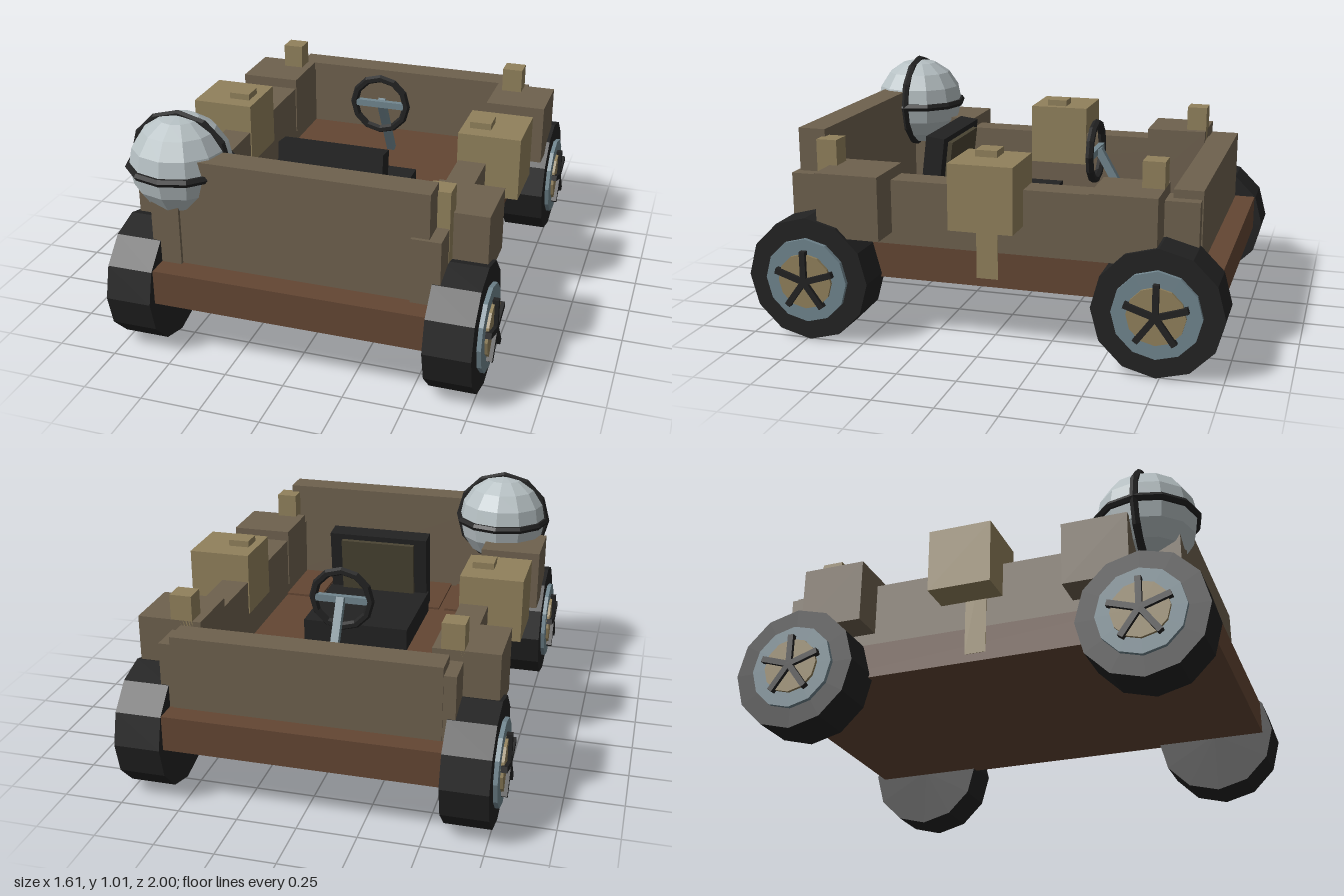
import * as THREE from 'three';

const mat = (name, color, extra = {}) => {
  const m = new THREE.MeshStandardMaterial({ color, ...extra });
  m.name = name;
  return m;
};

export function createModel() {
  const flat = { flatShading: true };
  const M = {
    brown: mat('floor brown', 0x634633, flat),
    stone: mat('wall taupe', 0x6e614e, flat),
    gold: mat('dull gold', 0x91815c, flat),
    black: mat('rubber black', 0x222222, flat),
    blue: mat('steel blue', 0x71868f, flat),
    pale: mat('pale silver', 0xb6c0c3, flat),
    olive: mat('dark olive', 0x4a4433, flat),
  };
  const root = new THREE.Group();
  root.name = 'buggy';

  const add = (name, geo, m, x = 0, y = 0, z = 0, parent = root) => {
    const mesh = new THREE.Mesh(geo, m);
    mesh.name = name;
    mesh.position.set(x, y, z);
    parent.add(mesh);
    return mesh;
  };
  // Box given by its minimum and maximum on each axis
  const box = (name, m, x0, x1, y0, y1, z0, z1, parent) =>
    add(name, new THREE.BoxGeometry(x1 - x0, y1 - y0, z1 - z0), m,
      (x0 + x1) / 2, (y0 + y1) / 2, (z0 + z1) / 2, parent);

  // Floor slab and foot planks
  box('floorSlab', M.brown, -0.6, 0.6, 0.25, 0.4, -0.96, 0.955);
  for (let i = -2; i <= 2; i++) {
    const x = i * 0.197;
    box('floorPlank', M.brown, x - 0.085, x + 0.085, 0.395, 0.41, 0.4, 0.73);
  }

  // End walls
  box('frontWall', M.stone, -0.55, 0.55, 0.4, 0.86, 0.73, 0.85);
  box('backWall', M.stone, -0.55, 0.55, 0.4, 0.71, -0.87, -0.75);

  // Side walls with their blocks and posts, mirrored
  for (const s of [-1, 1]) {
    const side = new THREE.Group();
    side.name = s > 0 ? 'leftSide' : 'rightSide';
    root.add(side);
    const sideBox = (name, m, x0, x1, ...rest) =>
      box(name, m, s > 0 ? x0 : -x1, s > 0 ? x1 : -x0, ...rest, side);
    sideBox('sideWall', M.stone, 0.48, 0.6, 0.4, 0.675, -0.865, 0.865);
    sideBox('frontBlock', M.stone, 0.475, 0.745, 0.45, 0.72, 0.418, 0.69);
    sideBox('backBlock', M.stone, 0.475, 0.745, 0.45, 0.72, -0.725, -0.455);
    sideBox('middleBlock', M.gold, 0.475, 0.745, 0.525, 0.8, -0.153, 0.118);
    sideBox('frontPost', M.gold, 0.51, 0.602, 0.4, 0.828, 0.655, 0.745);
    sideBox('middlePost', M.gold, 0.51, 0.602, 0.285, 0.828, -0.045, 0.047);
    sideBox('backPost', M.gold, 0.51, 0.602, 0.4, 0.828, -0.725, -0.635);
  }

  // Wheels: tyre, rim, hub and five spokes stacked outward
  const disc = (name, m, r, x0, x1, n, parent) => {
    const geo = new THREE.CylinderGeometry(r, r, x1 - x0, n).rotateZ(Math.PI / 2);
    return add(name, geo, m, (x0 + x1) / 2, 0, 0, parent);
  };
  for (const s of [-1, 1]) for (const z of [-0.735, 0.735]) {
    const wheel = new THREE.Group();
    wheel.name = (z > 0 ? 'front' : 'back') + (s > 0 ? 'Left' : 'Right') + 'Wheel';
    wheel.position.set(0, 0.265, z);
    if (s < 0) wheel.rotation.y = Math.PI;
    root.add(wheel);
    disc('tyre', M.black, 0.265, 0.567, 0.76, 12, wheel);
    disc('rim', M.blue, 0.18, 0.7, 0.778, 12, wheel);
    disc('hub', M.gold, 0.118, 0.72, 0.79, 12, wheel);
    for (let i = 0; i < 5; i++) {
      const spoke = new THREE.BoxGeometry(0.025, 0.132, 0.025).translate(0, 0.066, 0);
      add('spoke', spoke, M.black, 0.793, 0, 0, wheel).rotation.x = i * Math.PI * 2 / 5;
    }
  }

  // Seat with a forward-tilted back and an inset panel
  const seat = new THREE.Group();
  seat.name = 'seat';
  root.add(seat);
  box('seatCushion', M.black, -0.237, 0.237, 0.4, 0.5, -0.1, 0.375, seat);
  const back = new THREE.Group();
  back.name = 'seatBack';
  back.position.set(0, 0.42, 0.4);
  back.rotation.x = -0.12;
  seat.add(back);
  box('backrest', M.black, -0.23, 0.23, 0, 0.36, -0.042, 0.042, back);
  box('backrestPanel', M.olive, -0.172, 0.172, 0.07, 0.335, -0.062, -0.04, back);

  // Steering wheel, crossbar and slanted column
  const steering = new THREE.Group();
  steering.name = 'steering';
  root.add(steering);
  add('steeringWheel', new THREE.TorusGeometry(0.126, 0.018, 6, 12), M.black, 0, 0.71, -0.312, steering);
  box('steeringCrossbar', M.blue, -0.115, 0.115, 0.695, 0.725, -0.325, -0.3, steering);
  const a = new THREE.Vector3(0, 0.4, -0.51), b = new THREE.Vector3(0, 0.72, -0.325);
  const mid = a.clone().add(b).multiplyScalar(0.5);
  const column = add('steeringColumn', new THREE.BoxGeometry(0.034, a.distanceTo(b), 0.034),
    M.blue, mid.x, mid.y, mid.z, steering);
  column.rotation.x = Math.atan2(b.z - a.z, b.y - a.y);

  // Globe lamp with two crossing bands
  const globe = new THREE.Group();
  globe.name = 'globe';
  globe.position.set(-0.525, 0.787, 0.717);
  root.add(globe);
  add('globeBall', new THREE.SphereGeometry(0.21, 12, 8), M.pale, 0, 0, 0, globe);
  const band = () => new THREE.TorusGeometry(0.208, 0.018, 6, 12);
  add('uprightBand', band(), M.black, 0, 0, 0, globe);
  add('levelBand', band().rotateX(Math.PI / 2), M.black, 0, 0, 0, globe);

  return root;
}
